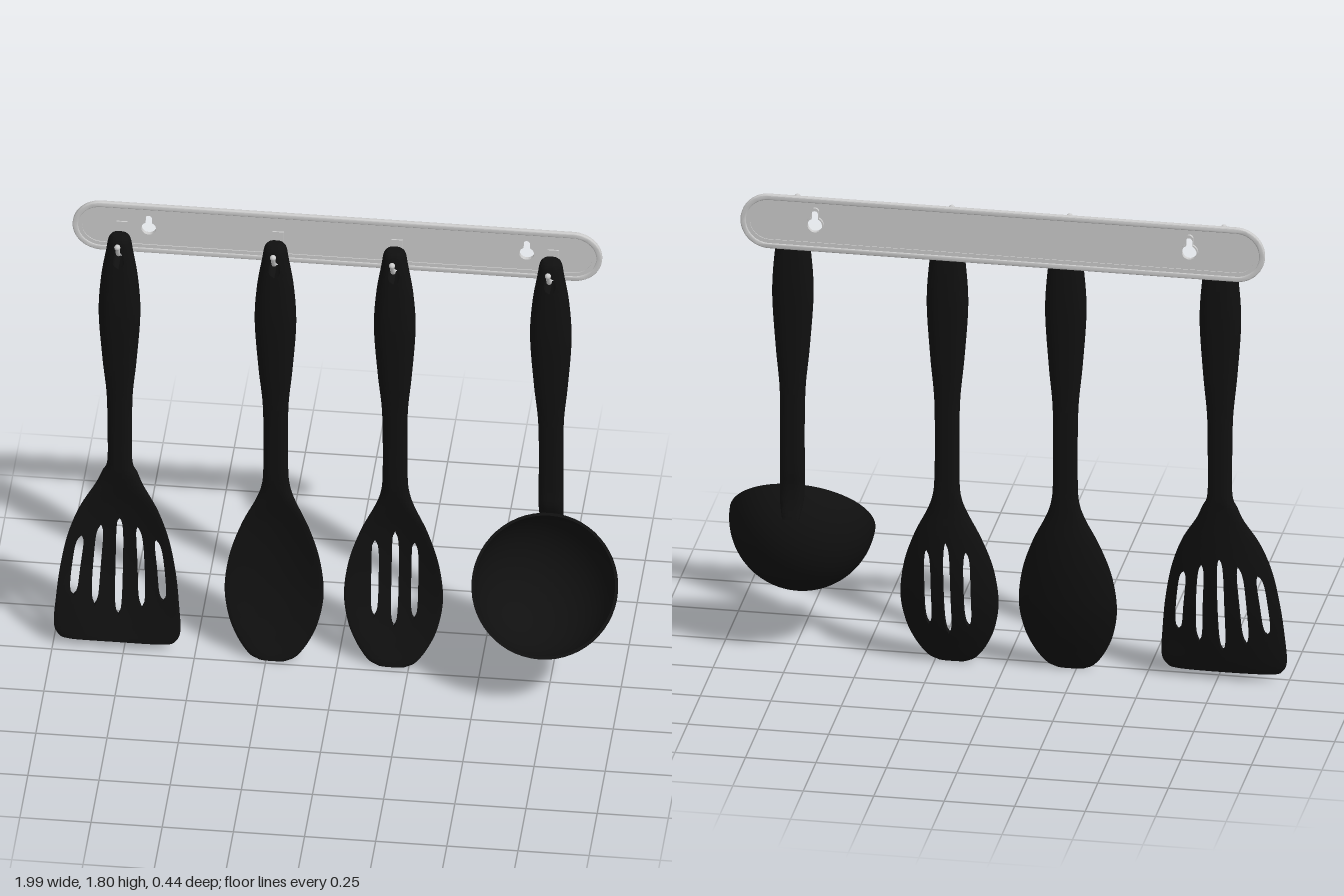
import * as THREE from 'three';
import { toCreasedNormals } from 'three/addons/utils/BufferGeometryUtils.js';

const black = new THREE.MeshStandardMaterial({ color: 0x101010, side: THREE.DoubleSide });
const grey = new THREE.MeshStandardMaterial({ color: 0xcccccc });

function add(parent, name, geometry, material) {
  const mesh = new THREE.Mesh(geometry, material);
  mesh.name = name;
  parent.add(mesh);
  return mesh;
}

// Rows are [y, half width, centre z, half thickness, forward curl of the edges]
const handleRows = [
  [0.75, 0.044, -0.13, 0.03, 0], [0.9, 0.043, -0.128, 0.031, 0], [1.05, 0.046, -0.125, 0.034, 0],
  [1.2, 0.06, -0.122, 0.041, 0], [1.4, 0.073, -0.12, 0.046, 0], [1.55, 0.065, -0.12, 0.043, 0],
  [1.67, 0.047, -0.12, 0.037, 0], [1.72, 0.039, -0.12, 0.031, 0], [1.738, 0.028, -0.12, 0.02, 0],
];
const spoonRows = [
  [0.006, 0.05, -0.025, 0.01, 0], [0.025, 0.085, -0.034, 0.012, 0.004], [0.08, 0.125, -0.058, 0.012, 0.014],
  [0.16, 0.158, -0.09, 0.012, 0.03], [0.27, 0.174, -0.122, 0.012, 0.042], [0.4, 0.158, -0.142, 0.013, 0.045],
  [0.52, 0.118, -0.146, 0.016, 0.03], [0.62, 0.07, -0.138, 0.022, 0.01], [0.68, 0.05, -0.133, 0.027, 0],
];
const turnerRows = [
  [0.036, 0.17, -0.04, 0.008, 0.003], [0.045, 0.2, -0.043, 0.009, 0.005], [0.09, 0.222, -0.056, 0.01, 0.012],
  [0.2, 0.216, -0.085, 0.01, 0.028], [0.32, 0.203, -0.112, 0.01, 0.038], [0.45, 0.178, -0.13, 0.011, 0.042],
  [0.56, 0.138, -0.135, 0.014, 0.03], [0.65, 0.085, -0.132, 0.021, 0.008], [0.7, 0.063, -0.13, 0.026, 0],
];
const ladleRows = [
  [0.56, 0.03, -0.168, 0.008, 0], [0.62, 0.042, -0.142, 0.018, 0], [0.68, 0.044, -0.128, 0.027, 0],
];
const hangingHole = { y: 1.65, half: 0.033, width: 0.021, power: 2 };

// Lofts a utensil as side-by-side strips; strips part where a slot opens between them.
// Each slot is { at: halfWidth => position from -1 to 1, cuts: [...] }
function utensilGeometry(rows, slots, steps = 12) {
  const path = new THREE.CatmullRomCurve3(rows.map(r => new THREE.Vector3(r[1], r[0], r[2])), false, 'catmullrom');
  const section = new THREE.CatmullRomCurve3(rows.map(r => new THREE.Vector3(r[3], r[4], 0)), false, 'catmullrom');
  const count = (rows.length - 1) * steps, across = 7, ring = 2 * (across + 1);
  const points = [], index = [];
  for (let s = 0; s <= slots.length; s++) {
    const base = points.length / 3;
    for (let r = 0; r <= count; r++) {
      const { x: w, y, z } = path.getPoint(r / count);
      const { x: thick, y: curl } = section.getPoint(r / count);
      const edge = (slot, sign) => {
        if (!slot) return -sign;
        let open = 0;
        for (const c of slot.cuts) {
          const d = Math.abs(y - c.y) / c.half;
          if (d < 1) open = c.width * Math.sqrt(1 - d ** c.power);
        }
        return THREE.MathUtils.clamp(slot.at(w) + sign * open / w, -0.95, 0.95);
      };
      const a = Math.asin(edge(slots[s - 1], 1)), b = Math.asin(edge(slots[s], -1));
      for (let k = 0; k < ring; k++) {
        const front = k <= across;
        const u = Math.sin(THREE.MathUtils.lerp(a, b, (front ? k : ring - 1 - k) / across));
        const bulge = thick * Math.sqrt(Math.max(0, 1 - Math.abs(u) ** 3));
        points.push(u * w, y, z + curl * u * u + (front ? bulge : -bulge));
      }
    }
    for (let r = 0; r < count; r++) for (let k = 0; k < ring; k++) {
      const p = base + r * ring + k, q = base + r * ring + (k + 1) % ring;
      index.push(p, q, q + ring, p, q + ring, p + ring);
    }
    // End caps
    const top = base + count * ring;
    for (let k = 0; k < across; k++) {
      const m = ring - 1 - k;
      index.push(base + k, base + m, base + m - 1, base + k, base + m - 1, base + k + 1);
      index.push(top + k, top + m - 1, top + m, top + k, top + k + 1, top + m - 1);
    }
  }
  const geometry = new THREE.BufferGeometry();
  geometry.setAttribute('position', new THREE.Float32BufferAttribute(points, 3));
  geometry.setIndex(index);
  return toCreasedNormals(geometry, 0.8);
}

// Rounded bar outline, half height h, straight between -l and l
function stadium(h, l, Type = THREE.Shape) {
  const s = new Type();
  s.absarc(l, 0, h, -Math.PI / 2, Math.PI / 2, false);
  s.absarc(-l, 0, h, Math.PI / 2, Math.PI * 1.5, false);
  s.closePath();
  return s;
}

// Keyhole outline: round opening with a narrow neck above
function keyhole(x, r, Type = THREE.Path) {
  const s = new Type(), neck = r * 0.45, a = Math.acos(0.45);
  s.absarc(x, 0, r, Math.PI - a, Math.PI * 2 + a, false);
  s.absarc(x, r * 1.65, neck, 0, Math.PI, false);
  s.closePath();
  return s;
}

function slab(shape, z, depth, bevel = 0) {
  const g = new THREE.ExtrudeGeometry(shape, {
    depth: depth - 2 * bevel, curveSegments: 24, bevelEnabled: bevel > 0,
    bevelSize: bevel, bevelThickness: bevel, bevelOffset: -bevel, bevelSegments: 3,
  });
  return toCreasedNormals(g.translate(-0.02, 1.705, z + bevel), 0.6);
}

export function createModel() {
  const model = new THREE.Group();

  // Wall rail: raised border, inner step and thin panel with keyholes
  const rail = new THREE.Group();
  rail.name = 'rail';
  model.add(rail);
  const half = 0.828, keys = [-0.663, 0.665];
  const border = stadium(0.102, half);
  border.holes.push(stadium(0.082, half, THREE.Path));
  add(rail, 'railBorder', slab(border, -0.215, 0.017, 0.004), grey);
  const step = stadium(0.084, half);
  step.holes.push(stadium(0.068, half, THREE.Path));
  add(rail, 'railStep', slab(step, -0.212, 0.011), grey);
  const panel = stadium(0.07, half);
  for (const x of keys) panel.holes.push(keyhole(x, 0.026));
  add(rail, 'railPanel', slab(panel, -0.209, 0.005), grey);
  for (const x of keys) {
    const collar = keyhole(x, 0.031, THREE.Shape);
    collar.holes.push(keyhole(x, 0.026));
    add(rail, 'keyholeCollar', slab(collar, -0.219, 0.011), grey);
  }

  // Utensils
  const cuts = (y, halfLength, width) => [{ y, half: halfLength, width, power: 5 }];
  const centre = extra => ({ at: () => 0, cuts: [hangingHole, ...extra] });
  const at = (u, c) => ({ at: () => u, cuts: c });
  const offset = (x, c) => ({ at: w => THREE.MathUtils.clamp(x / w, -0.6, 0.6), cuts: c });
  const outer = cuts(0.318, 0.118, 0.015), inner = cuts(0.32, 0.153, 0.014);
  const side = cuts(0.32, 0.148, 0.014);

  const hung = [
    ['slottedTurner', -0.775, 0.007, turnerRows,
      [at(-0.73, outer), at(-0.38, inner), centre(cuts(0.318, 0.187, 0.014)), at(0.38, inner), at(0.73, outer)]],
    ['spoon', -0.228, 0, spoonRows, [centre([])]],
    ['slottedSpoon', 0.19, -0.01, spoonRows,
      [offset(-0.07, side), centre(cuts(0.32, 0.183, 0.014)), offset(0.07, side)]],
    ['ladle', 0.738, -0.012, ladleRows, [centre([])]],
  ];

  for (const [name, x, z, rows, slots] of hung) {
    const utensil = new THREE.Group();
    utensil.name = name;
    utensil.position.set(x, 0, z);
    model.add(utensil);
    add(utensil, name + 'Body', utensilGeometry([...rows, ...handleRows], slots), black);

    if (name === 'ladle') {
      // Thin half-sphere bowl, its opening tilted forward and up
      const profile = [];
      for (let i = 0; i <= 20; i++) {
        const a = i / 20 * Math.PI / 2;
        profile.push(new THREE.Vector2(0.257 * Math.sin(a), -0.257 * Math.cos(a)));
      }
      for (let i = 20; i >= 0; i--) {
        const a = i / 20 * Math.PI / 2;
        profile.push(new THREE.Vector2(0.247 * Math.sin(a), -0.247 * Math.cos(a)));
      }
      const bowl = add(utensil, 'ladleBowl', toCreasedNormals(new THREE.LatheGeometry(profile, 56), 0.6), black);
      bowl.position.set(0, 0.465, 0.06 - z);
      bowl.rotation.x = Math.atan2(0.77, 0.638);
    }

    // Wire hook with ball tip and mounting plate
    const hook = new THREE.Group();
    hook.name = 'hook';
    hook.position.x = x;
    model.add(hook);
    const wire = new THREE.CatmullRomCurve3([
      [-0.203, 1.672], [-0.16, 1.668], [-0.11, 1.665], [-0.07, 1.685], [-0.043, 1.73],
    ].map(([pz, py]) => new THREE.Vector3(0, py, pz)));
    add(hook, 'hookWire', new THREE.TubeGeometry(wire, 24, 0.008, 10), grey);
    add(hook, 'hookTip', new THREE.SphereGeometry(0.011, 14, 10), grey).position.set(0, 1.732, -0.043);
    add(hook, 'hookPlate', new THREE.BoxGeometry(0.04, 0.07, 0.006), grey).position.set(0, 1.695, -0.202);
  }
  return model;
}
